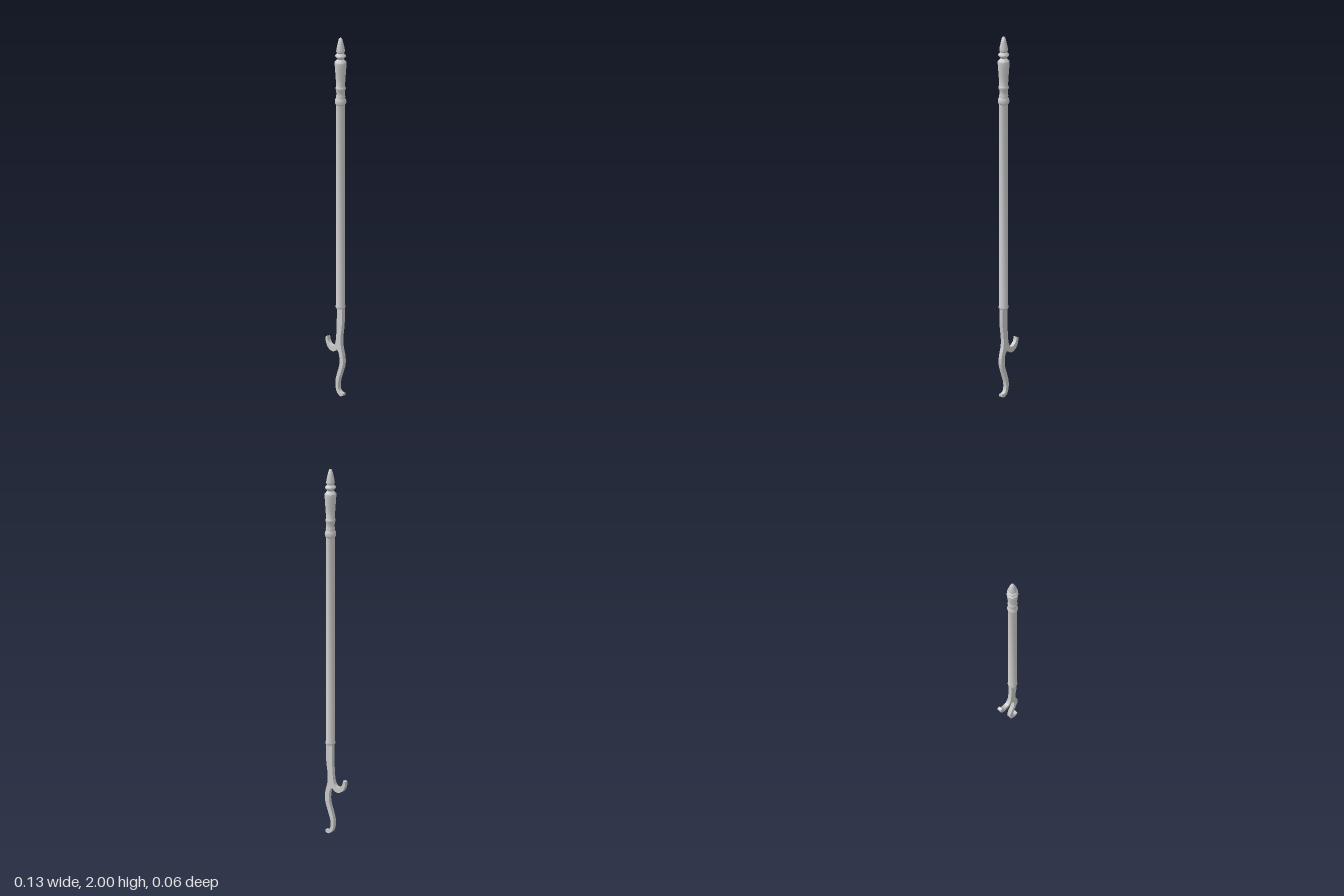
import * as THREE from 'three';
import { toCreasedNormals } from 'three/addons/utils/BufferGeometryUtils.js';

const AXIS_X = 0.034;

export function createModel() {
  const group = new THREE.Group();
  const material = new THREE.MeshStandardMaterial({ color: 0xcccccc });

  const add = (name, geometry, x, z) => {
    const mesh = new THREE.Mesh(toCreasedNormals(geometry, 0.9), material);
    mesh.name = name;
    mesh.position.set(x, 0, z);
    group.add(mesh);
  };

  // Eight-sided turned part from [radius, height] pairs, bottom to top
  const turned = (name, profile) =>
    add(name, new THREE.LatheGeometry(profile.map(([r, y]) => new THREE.Vector2(r, y)), 8), AXIS_X, 0);

  // Long shaft with a collar around the hook's socket
  turned('shaft', [
    [0, 0.488], [0.023, 0.488], [0.026, 0.493], [0.026, 0.502], [0.024, 0.507], [0.024, 1.63],
  ]);

  // Ringed handle, flaring towards the top
  turned('handle', [
    [0.024, 1.625], [0.029, 1.63], [0.03, 1.645], [0.028, 1.656], [0.023, 1.664],
    [0.025, 1.672], [0.022, 1.68], [0.023, 1.705], [0.027, 1.712], [0.027, 1.722],
    [0.023, 1.728], [0.026, 1.78], [0.029, 1.82], [0.031, 1.85], [0.031, 1.864],
    [0.026, 1.87], [0.016, 1.88],
  ]);

  // Bead and bullet-shaped finial
  turned('finial', [
    [0.016, 1.88], [0.022, 1.888], [0.029, 1.894], [0.029, 1.902], [0.022, 1.909],
    [0.018, 1.914], [0.023, 1.921], [0.022, 1.935], [0.016, 1.965], [0.01, 1.99],
    [0.006, 1.997], [0, 2],
  ]);

  // Flat iron hook: S-shaped tine with a curled side barb
  const vec = (pairs) => pairs.map(([x, y]) => new THREE.Vector2(x, y));
  const outline = new THREE.Shape();
  outline.moveTo(0.016, 0.5);
  // Stem's right edge and inside of the barb
  outline.splineThru(vec([
    [0.016, 0.42], [0.013, 0.35], [0.008, 0.3], [-0.003, 0.273], [-0.02, 0.264],
    [-0.04, 0.272], [-0.052, 0.287], [-0.056, 0.308],
  ]));
  outline.lineTo(-0.069, 0.303);
  // Outside of the barb
  outline.splineThru(vec([
    [-0.068, 0.28], [-0.055, 0.252], [-0.03, 0.236], [-0.005, 0.237], [0.016, 0.255],
  ]));
  // Outside of the lower tine
  outline.splineThru(vec([
    [0.03, 0.238], [0.037, 0.2], [0.033, 0.165], [0.017, 0.12], [0.006, 0.08],
    [0.006, 0.048], [0.014, 0.02], [0.03, 0.005], [0.046, 0], [0.06, 0.007],
  ]));
  outline.lineTo(0.06, 0.019);
  // Inside of the lower tine, back up to the stem
  outline.splineThru(vec([
    [0.045, 0.019], [0.031, 0.028], [0.025, 0.05], [0.028, 0.08], [0.042, 0.12],
    [0.058, 0.165], [0.063, 0.2], [0.057, 0.24], [0.046, 0.28], [0.045, 0.33],
    [0.052, 0.38], [0.055, 0.42], [0.055, 0.5],
  ]));
  add('hook', new THREE.ExtrudeGeometry(outline, { depth: 0.021, bevelEnabled: false, curveSegments: 2 }), 0, -0.0105);

  return group;
}
